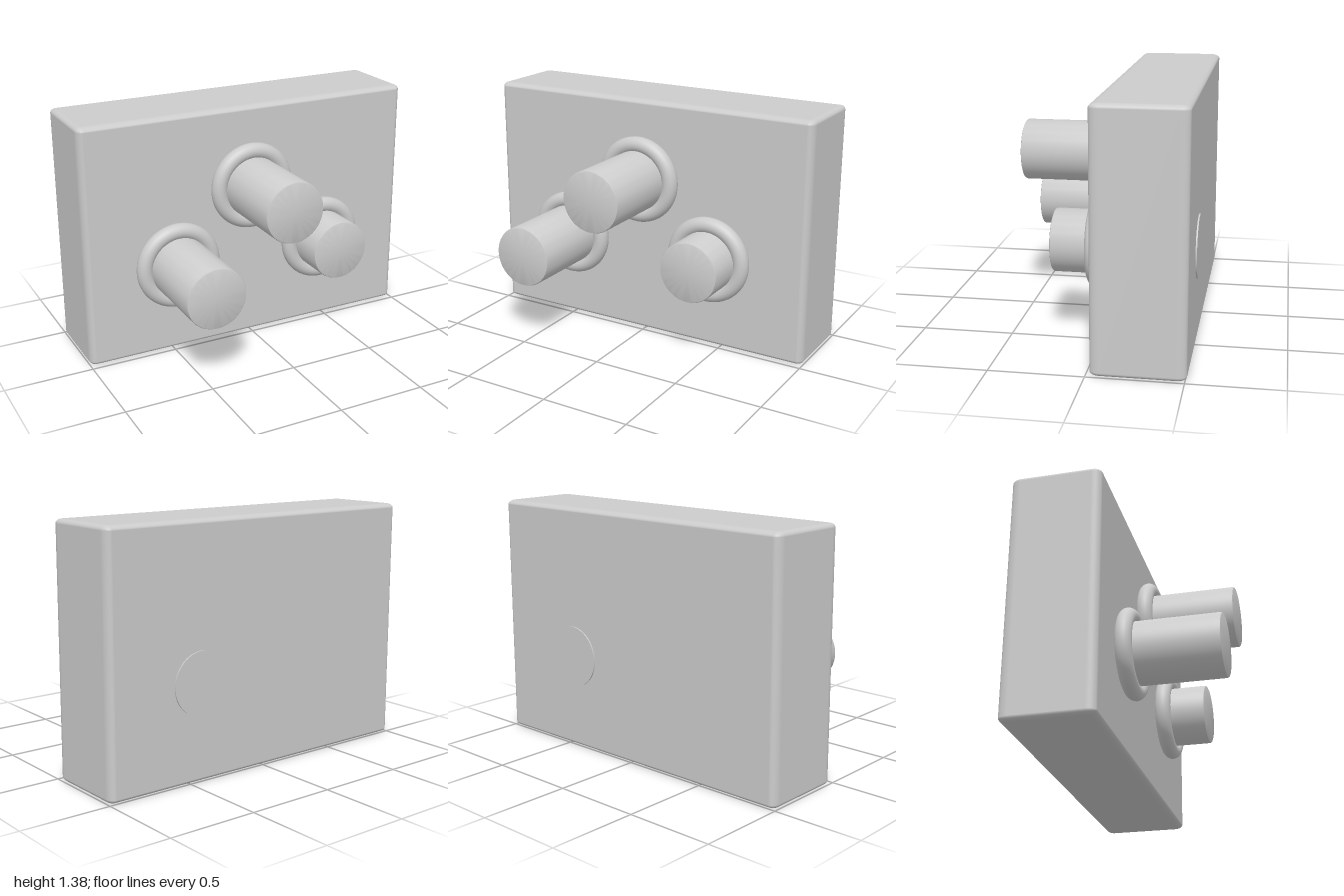
import * as THREE from 'three';
import { RoundedBoxGeometry } from 'three/addons/geometries/RoundedBoxGeometry.js';
import { toCreasedNormals } from 'three/addons/utils/BufferGeometryUtils.js';

const material = new THREE.MeshStandardMaterial({ color: 0xcccccc });

function add(parent, name, geometry, x = 0, y = 0, z = 0) {
  const mesh = new THREE.Mesh(geometry, material);
  mesh.name = name;
  mesh.position.set(x, y, z);
  parent.add(mesh);
  return mesh;
}

// Round pin along z with a small softened front rim; z = 0 is the front face
function pinGeometry(radius, length, bevel) {
  const profile = [
    [0, -length], [radius, -length], [radius, -bevel],
    [radius - bevel * 0.3, -bevel * 0.3], [radius - bevel, 0], [0, 0],
  ].map(([r, h]) => new THREE.Vector2(r, h));
  const geometry = new THREE.LatheGeometry(profile, 64).rotateX(Math.PI / 2);
  return toCreasedNormals(geometry, 0.6);
}

export function createModel() {
  const model = new THREE.Group();
  model.name = 'pinBlock';

  // Block, with a different edge rounding along each axis
  const size = [2, 1.38, 0.49];
  const round = [0.035, 0.025, 0.05];
  const block = new RoundedBoxGeometry(...size.map((s, i) => s / round[i]), 6, 1);
  block.scale(...round);
  add(model, 'block', block, 0, 0.69, -0.265);

  // Three pins through collar rings; the last one is pushed in and shows at the back
  const pin = pinGeometry(0.172, 0.78, 0.01);
  const collar = new THREE.TorusGeometry(0.203, 0.045, 24, 64);
  const places = [
    ['right', -0.475, 0.535, 0.52],
    ['upper', -0.015, 0.932, 0.52],
    ['left', 0.435, 0.535, 0.262],
  ];
  for (const [side, x, y, front] of places) {
    add(model, side + 'Pin', pin, x, y, front);
    add(model, side + 'Collar', collar, x, y, 0.022);
  }

  return model;
}
